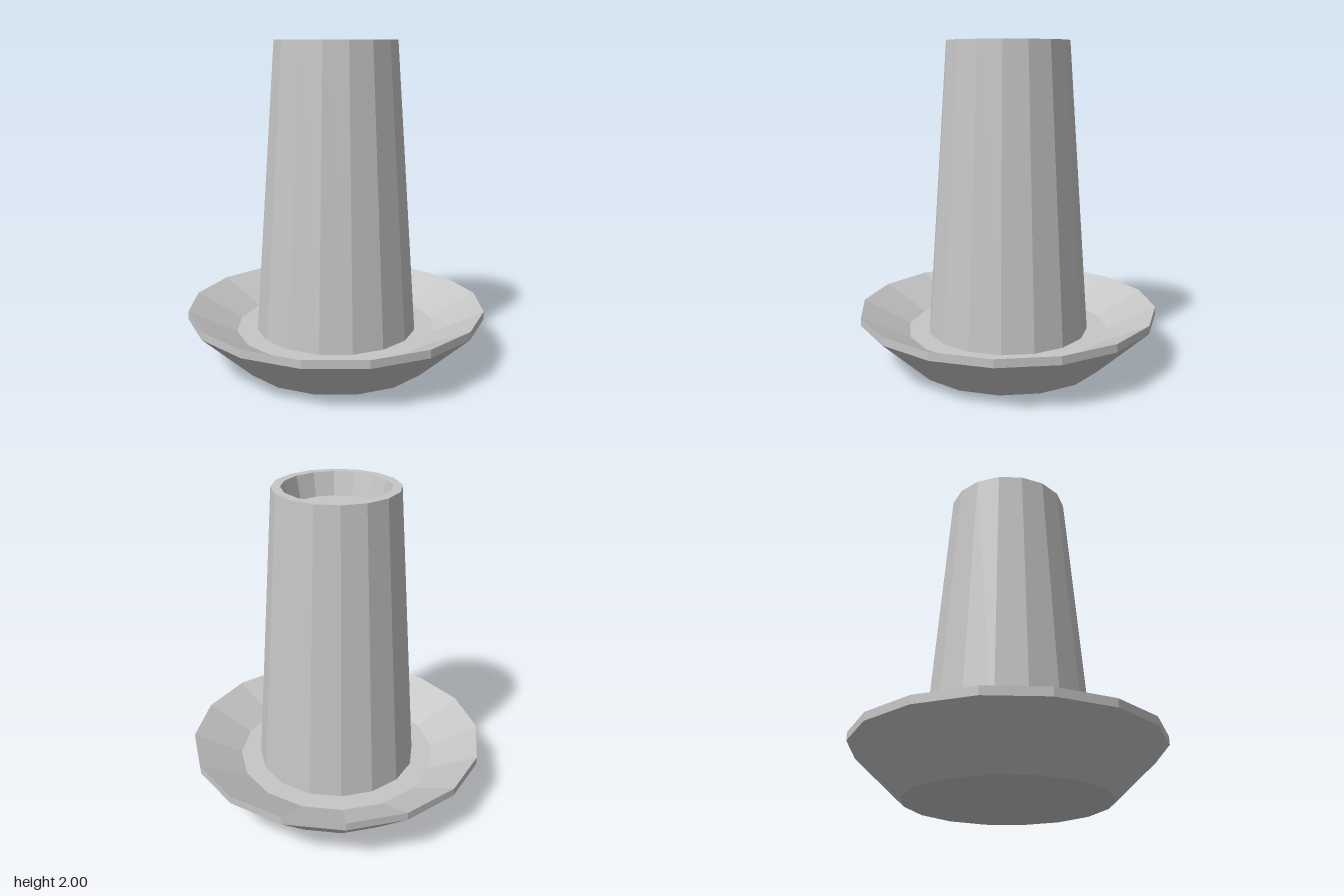
import * as THREE from 'three';

const SIDES = 16;

// Faceted solid of revolution with flat sides facing the axes
function facetedLathe(profile) {
  const points = profile.map(([r, y]) => new THREE.Vector2(r, y));
  const geometry = new THREE.LatheGeometry(points, SIDES, Math.PI / SIDES).toNonIndexed();
  geometry.computeVertexNormals();
  return geometry;
}

export function createModel() {
  const model = new THREE.Group();
  model.name = 'dishWithTower';

  const grey = new THREE.MeshStandardMaterial({ color: 0xc6c6c6 });
  grey.name = 'light grey';

  const addPart = (name, profile) => {
    const mesh = new THREE.Mesh(facetedLathe(profile), grey);
    mesh.name = name;
    model.add(mesh);
  };

  // Flared dish: underside, rim band, sloping inside and floor
  addPart('dish', [
    [0, 0], [0.612, 0], [0.933, 0.3], [0.933, 0.35], [0.635, 0.2], [0.506, 0.2],
  ]);

  // Tapered tower with a shallow cup sunk into its top
  addPart('tower', [
    [0.506, 0.2], [0.375, 2], [0.32, 2], [0.288, 1.86], [0, 1.86],
  ]);

  return model;
}
